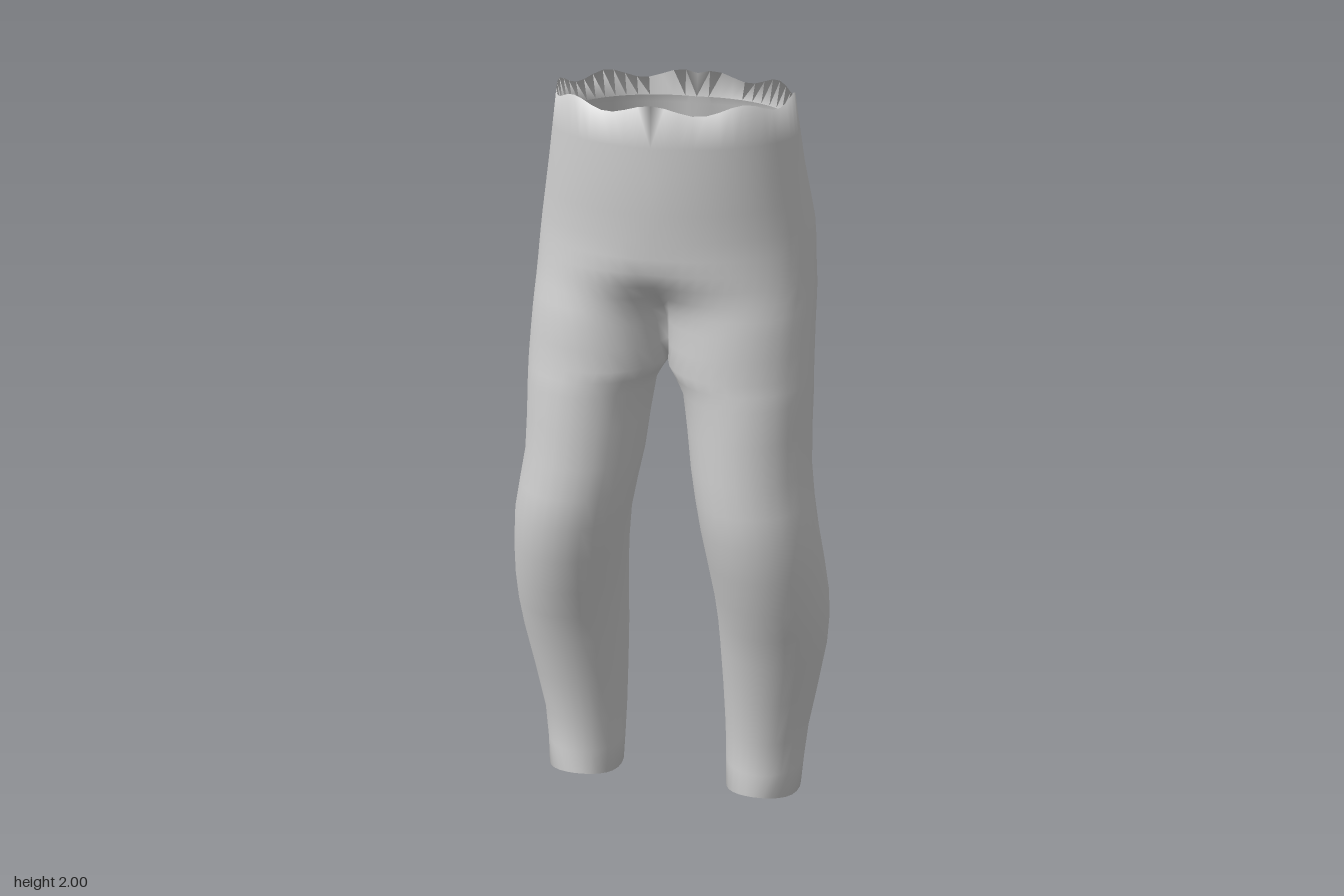
import * as THREE from 'three';
import { mergeVertices } from 'three/addons/utils/BufferGeometryUtils.js';

const STEPS = 14; // columns on the front half and on the back half of each leg
const BANDS = 2; // bands between two key rings

// closed leg ring: height, inner x, outer x, front z, back z
const leg = (y, xi, xo, zf, zb) => ({ y, cf: (xi + xo) / 2, cb: (xi + xo) / 2, xo, zf, zb });
// ring open at the middle: height, front and back lobe centres, outer x, front z, back z
const hip = (y, cf, cb, xo, zf, zb) => ({ y, cf, cb, xo, zf, zb });

const keys = [
  // lower leg and knee
  leg(0, 0.157, 0.368, 0.145, -0.112),
  leg(0.18, 0.15, 0.383, 0.13, -0.131),
  leg(0.45, 0.138, 0.432, 0.183, -0.148),
  leg(0.63, 0.129, 0.439, 0.24, -0.134),
  leg(0.84, 0.102, 0.418, 0.286, -0.07),
  // thigh
  leg(1.01, 0.07, 0.391, 0.275, -0.102),
  leg(1.21, 0.042, 0.387, 0.255, -0.127),
  leg(1.28, 0, 0.385, 0.246, -0.135),
  // crotch, seat and waist
  hip(1.4, 0.185, 0.185, 0.38, 0.234, -0.18),
  hip(1.48, 0.15, 0.16, 0.376, 0.226, -0.228),
  hip(1.56, 0.04, 0.13, 0.37, 0.245, -0.262),
  hip(1.65, 0, 0.1, 0.362, 0.247, -0.286),
  hip(1.8, 0, 0.07, 0.336, 0.25, -0.255),
  hip(1.985, 0, 0.04, 0.31, 0.242, -0.227),
];

// ring copied a little further in, for the turned-in cloth at an edge
const fold = (r, dy) => ({ ...r, y: r.y + dy, xo: r.xo - 0.01, zf: r.zf - 0.01, zb: r.zb + 0.01 });

// smooth series of rings through the keys, with a fold at each end
function makeRings() {
  const spline = (pick) => new THREE.CatmullRomCurve3(
    keys.map((k) => new THREE.Vector3(...pick(k))), false, 'catmullrom');
  const centres = spline((k) => [k.y, k.cf, k.cb]);
  const edges = spline((k) => [k.xo, k.zf, k.zb]);
  const count = (keys.length - 1) * BANDS;
  const rings = [];
  for (let i = 0; i <= count; i++) {
    const c = centres.getPoint(i / count), e = edges.getPoint(i / count);
    rings.push(hip(c.x, c.y, c.z, e.x, e.y, e.z));
  }
  return [fold(rings[0], 0.06), ...rings, fold(rings[count], -0.07)];
}

// angle at which a lobe reaches the middle plane, or its innermost point
const endAngle = (c, xo) => Math.acos(THREE.MathUtils.clamp(-c / (xo - c), -1, 1));

function ringPoint(r, j) {
  const k = j - STEPS; // negative at the back, positive at the front
  const front = k >= 0;
  const c = front ? r.cf : r.cb;
  const t = endAngle(c, r.xo) * Math.abs(k) / STEPS;
  const mid = (r.zf + r.zb) / 2;
  const s = Math.sin(t);
  const x = Math.max(0, c + (r.xo - c) * Math.cos(t));
  const z = mid + ((front ? r.zf : r.zb) - mid) * s;
  let y = r.y;
  if (y < 0.03) y += 0.022 * s * s; // hem lifts at front and back
  if (y > 1.96) y += 0.012 * Math.cos(8 * t) - (front ? 0 : 0.014 * s); // uneven waist
  return [x, y, z];
}

// both halves share one surface so that the middle seam is joined
function trousersGeometry() {
  const rings = makeRings();
  const cols = 2 * STEPS + 1;
  const positions = [], index = [];
  for (const side of [1, -1]) {
    const base = positions.length / 3;
    for (const r of rings) {
      for (let j = 0; j < cols; j++) {
        const [x, y, z] = ringPoint(r, j);
        positions.push(x < 1e-4 ? 0 : side * x, y, z);
      }
    }
    for (let i = 0; i < rings.length - 1; i++) {
      for (let j = 0; j < cols - 1; j++) {
        const a = base + i * cols + j, b = a + 1, c = a + cols, d = c + 1;
        if (side > 0) index.push(a, c, b, b, c, d);
        else index.push(a, b, c, b, d, c);
      }
    }
  }
  const g = new THREE.BufferGeometry();
  g.setAttribute('position', new THREE.Float32BufferAttribute(positions, 3));
  g.setIndex(index);
  const merged = mergeVertices(g, 1e-4);
  merged.computeVertexNormals();
  return merged;
}

export function createModel() {
  const cloth = new THREE.MeshStandardMaterial({ color: 0xcccccc, side: THREE.DoubleSide });
  cloth.name = 'light grey cloth';

  const trousers = new THREE.Mesh(trousersGeometry(), cloth);
  trousers.name = 'trousers';

  const model = new THREE.Group();
  model.name = 'pair of trousers';
  model.add(trousers);
  return model;
}
